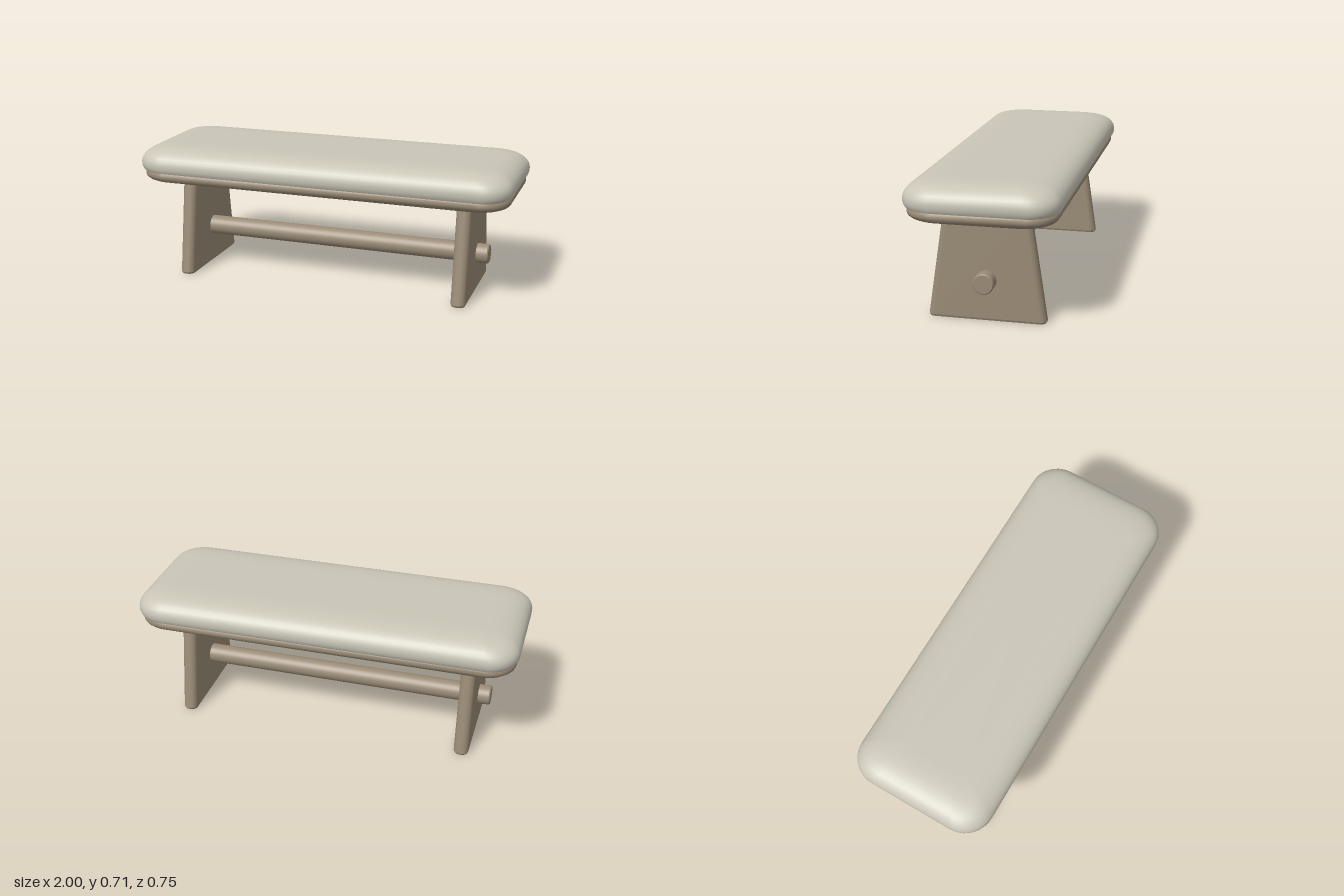
import * as THREE from 'three';

const upholstery = new THREE.MeshStandardMaterial({ color: 0xc9c5b7 });
upholstery.name = 'warm grey upholstery';
const wood = new THREE.MeshStandardMaterial({ color: 0x9a8b76 });
wood.name = 'brown wood';

// Closed solid from stacked rounded rectangles: [y, halfX, halfZ, cornerRadius].
// A repeated section makes a sharp edge.
function loft(sections) {
  const steps = 10, pos = [], index = [];
  const n = 4 * (steps + 1);
  const first = sections[0], last = sections[sections.length - 1];
  const rings = [[first[0], 0, 0, 0], ...sections, [last[0], 0, 0, 0]];
  for (const [y, hx, hz, r] of rings) {
    for (let q = 0; q < 4; q++) {
      const sx = q === 0 || q === 3 ? 1 : -1;
      const sz = q < 2 ? 1 : -1;
      for (let s = 0; s <= steps; s++) {
        const a = (q + s / steps) * Math.PI / 2;
        pos.push(sx * (hx - r) + r * Math.cos(a), y, sz * (hz - r) + r * Math.sin(a));
      }
    }
  }
  for (let j = 0; j < rings.length - 1; j++) {
    for (let i = 0; i < n; i++) {
      const a = j * n + i, b = j * n + (i + 1) % n;
      index.push(a, a + n, b, b, a + n, b + n);
    }
  }
  const geometry = new THREE.BufferGeometry();
  geometry.setAttribute('position', new THREE.Float32BufferAttribute(pos, 3));
  geometry.setIndex(index);
  geometry.computeVertexNormals();
  return geometry;
}

// Section of a slab, pulled in from its outline by the inset
const slab = (hx, hz, r) => ([y, inset]) =>
  [y, hx - inset, hz - inset, Math.max(r - inset * 0.5, 0.05)];

export function createModel() {
  const model = new THREE.Group();
  model.name = 'bench';
  const add = (name, geometry, material) => {
    const mesh = new THREE.Mesh(geometry, material);
    mesh.name = name;
    model.add(mesh);
    return mesh;
  };

  // Padded seat with a soft rounded top
  add('cushion', loft([
    [0.575, 0.012], [0.575, 0.012], [0.585, 0.006], [0.6, 0.001], [0.62, 0],
    [0.638, 0.004], [0.655, 0.013], [0.67, 0.027], [0.682, 0.044], [0.692, 0.067],
    [0.699, 0.095], [0.704, 0.13], [0.706, 0.17], [0.707, 0.22],
  ].map(slab(1, 0.375, 0.15))), upholstery);

  // Wooden board below, rounded underneath
  add('seatBoard', loft([
    [0.514, 0.085], [0.514, 0.07], [0.516, 0.05], [0.521, 0.031], [0.529, 0.015],
    [0.54, 0.004], [0.552, 0], [0.566, 0.001], [0.572, 0.006], [0.572, 0.006],
  ].map(slab(0.987, 0.36, 0.15))), wood);

  // Narrow shadow gap between board and cushion
  add('seatJoint', loft([
    [0.568, 0], [0.568, 0], [0.58, 0], [0.58, 0],
  ].map(slab(0.97, 0.345, 0.14))), wood);

  // Tapered slab legs with rounded long edges
  for (const [name, side] of [['leftLeg', 1], ['rightLeg', -1]]) {
    const leg = add(name, loft([
      [0, 0.034, 0.286, 0.03], [0, 0.034, 0.286, 0.03],
      [0.01, 0.038, 0.291, 0.033], [0.01, 0.038, 0.291, 0.033],
      [0.53, 0.038, 0.213, 0.033], [0.53, 0.038, 0.213, 0.033],
    ]), wood);
    leg.position.x = side * 0.751;
  }

  // Round stretcher passing through both legs, with eased ends
  const rod = [[0, -0.852], [0.046, -0.852], [0.046, -0.852], [0.051, -0.846], [0.051, -0.846],
    [0.051, 0.846], [0.051, 0.846], [0.046, 0.852], [0.046, 0.852], [0, 0.852]]
    .map(([r, y]) => new THREE.Vector2(r, y));
  const stretcher = add('stretcher', new THREE.LatheGeometry(rod, 40), wood);
  stretcher.rotation.z = -Math.PI / 2;
  stretcher.position.y = 0.203;

  return model;
}
